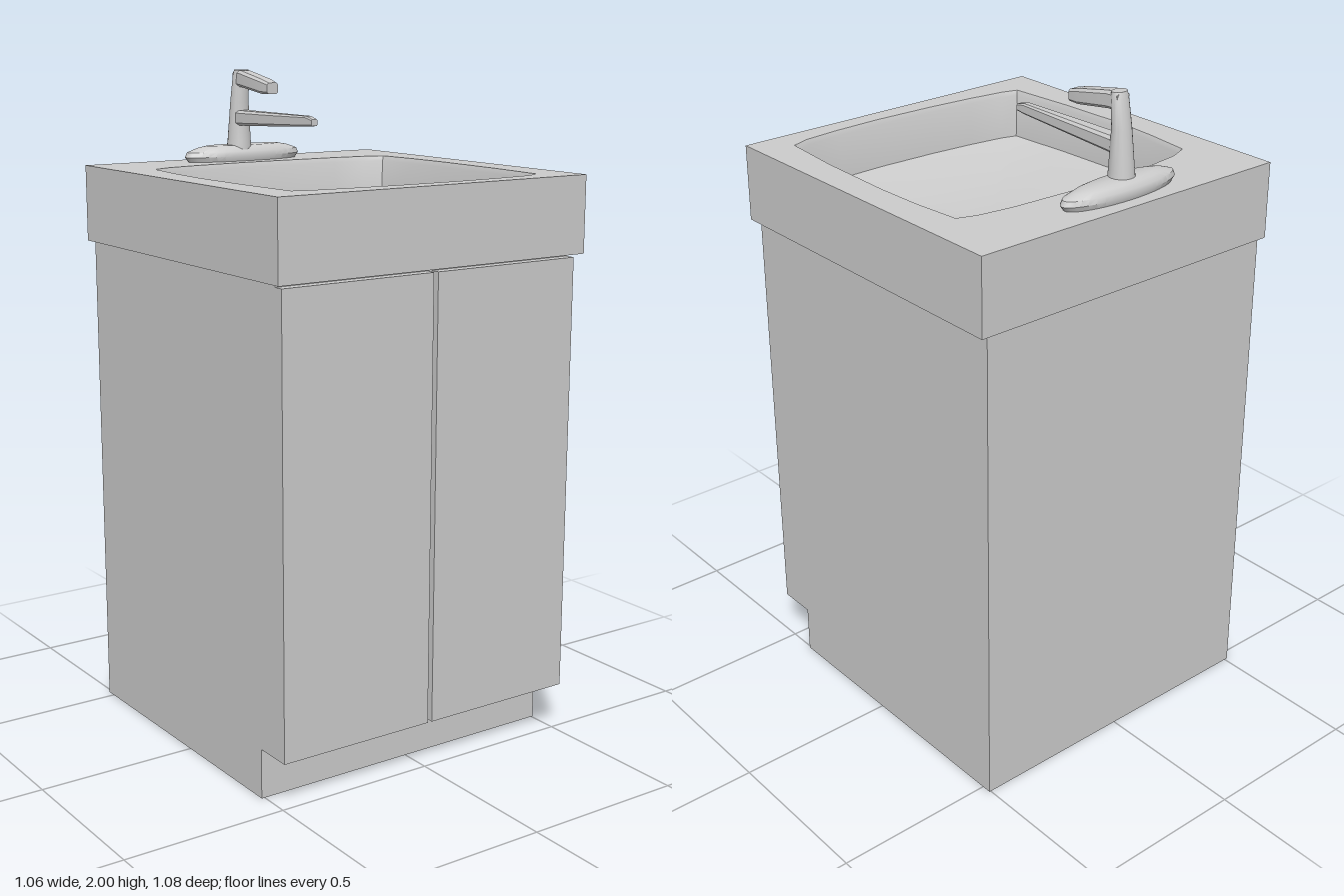
import * as THREE from 'three';
import { toCreasedNormals } from 'three/addons/utils/BufferGeometryUtils.js';

const material = new THREE.MeshStandardMaterial({ color: 0xcccccc });

// Skin a stack of rings with equal point counts; optionally close either end.
function loft(rings, capStart, capEnd) {
  const n = rings[0].length;
  const points = rings.flat();
  const index = [];
  for (let r = 0; r < rings.length - 1; r++) {
    for (let j = 0; j < n; j++) {
      const a = r * n + j, b = r * n + (j + 1) % n;
      index.push(a, b, b + n, a, b + n, a + n);
    }
  }
  const cap = (r, flip) => {
    const centre = new THREE.Vector3();
    rings[r].forEach((p) => centre.addScaledVector(p, 1 / n));
    const c = points.push(centre) - 1;
    for (let j = 0; j < n; j++) {
      const a = r * n + j, b = r * n + (j + 1) % n;
      index.push(...(flip ? [b, a, c] : [a, b, c]));
    }
  };
  if (capStart) cap(0, true);
  if (capEnd) cap(rings.length - 1, false);
  const geometry = new THREE.BufferGeometry().setFromPoints(points);
  geometry.setIndex(index);
  return toCreasedNormals(geometry, 0.6);
}

// Horizontal ellipse, counterclockwise from above.
function ellipse(x, y, z, rx, rz, n = 32) {
  return Array.from({ length: n }, (_, i) => {
    const t = (i / n) * Math.PI * 2;
    return new THREE.Vector3(x + rx * Math.cos(t), y, z - rz * Math.sin(t));
  });
}

// Upright chamfered rectangle facing +z.
function section(x, z, halfWidth, bottom, top) {
  const c = Math.min(halfWidth, (top - bottom) / 2) * 0.35;
  const w = halfWidth;
  return [
    [w, bottom + c], [w, top - c], [w - c, top], [c - w, top],
    [-w, top - c], [-w, bottom + c], [c - w, bottom], [w - c, bottom],
  ].map(([dx, y]) => new THREE.Vector3(x + dx, y, z));
}

export function createModel() {
  const group = new THREE.Group();
  const add = (name, geometry) => {
    const mesh = new THREE.Mesh(geometry, material);
    mesh.name = name;
    group.add(mesh);
    return mesh;
  };
  const box = (name, x0, x1, y0, y1, z0, z1) =>
    add(name, new THREE.BoxGeometry(x1 - x0, y1 - y0, z1 - z0))
      .position.set((x0 + x1) / 2, (y0 + y1) / 2, (z0 + z1) / 2);

  // Cabinet body with a recessed toe kick
  box('cabinetBody', -0.51, 0.505, 0.15, 1.49, -0.53, 0.495);
  box('toeKick', -0.51, 0.505, 0, 0.15, -0.53, 0.405);

  // Pair of doors with a narrow gap
  box('rightDoor', -0.51, -0.01, 0.15, 1.48, 0.495, 0.525);
  box('leftDoor', 0.005, 0.505, 0.15, 1.48, 0.495, 0.525);

  // Bowed basin outline (x, z), counterclockwise from above
  const outline = [
    [-0.42, -0.30], [-0.36, -0.325], [-0.25, -0.34], [-0.1, -0.348], [0, -0.348],
    [0.25, -0.335], [0.36, -0.32], [0.42, -0.30],
    [0.435, -0.15], [0.44, 0], [0.435, 0.25], [0.42, 0.45],
    [0.365, 0.47], [0.25, 0.48], [0.1, 0.484], [-0.1, 0.477], [-0.25, 0.465],
    [-0.37, 0.45], [-0.42, 0.435],
    [-0.437, 0.22], [-0.445, 0], [-0.437, -0.15],
  ].reverse();

  // Countertop slab with the basin opening
  const slab = new THREE.Shape([
    [-0.53, -0.54], [0.53, -0.54], [0.53, 0.54], [-0.53, 0.54],
  ].map(([x, y]) => new THREE.Vector2(x, y)));
  slab.holes.push(new THREE.Path(outline.map(([x, z]) => new THREE.Vector2(x, -z))));
  const slabGeometry = new THREE.ExtrudeGeometry(slab, { depth: 0.23, bevelEnabled: false });
  slabGeometry.rotateX(-Math.PI / 2).translate(0, 1.49, 0);
  add('countertop', slabGeometry);

  // Basin: steep walls, then a shallow floor falling to the middle
  const basinRing = (scale, y) => outline.map(([x, z]) =>
    new THREE.Vector3(x * scale, y, 0.06 + (z - 0.06) * scale));
  add('basinWall', loft([
    basinRing(1, 1.72), basinRing(0.985, 1.705), basinRing(0.96, 1.575),
  ]));
  add('basinFloor', loft([
    basinRing(0.96, 1.575), basinRing(0.57, 1.525), basinRing(0.06, 1.505),
  ], false, true));

  // Faucet: oval base plate
  const bx = -0.025, bz = -0.447;
  add('faucetBase', loft([
    ellipse(bx, 1.72, bz, 0.195, 0.052, 40),
    ellipse(bx, 1.735, bz, 0.207, 0.057, 40),
    ellipse(bx, 1.75, bz, 0.2, 0.053, 40),
    ellipse(bx, 1.762, bz, 0.165, 0.043, 40),
    ellipse(bx, 1.768, bz, 0.13, 0.034, 40),
  ], true, true));

  // Tapered column
  add('faucetColumn', loft([
    ellipse(-0.043, 1.74, -0.438, 0.041, 0.041, 20),
    ellipse(-0.043, 1.785, -0.437, 0.036, 0.037, 20),
    ellipse(-0.043, 1.9, -0.433, 0.03, 0.026, 20),
    ellipse(-0.043, 1.985, -0.422, 0.027, 0.021, 20),
    ellipse(-0.043, 2, -0.42, 0.024, 0.018, 20),
  ], true, true));

  // Long spout reaching over the basin
  add('spout', loft([
    section(-0.043, -0.43, 0.026, 1.828, 1.876),
    section(-0.041, -0.24, 0.02, 1.836, 1.876),
    section(-0.038, -0.05, 0.013, 1.845, 1.876),
    section(-0.038, -0.02, 0.011, 1.848, 1.868),
  ], true, true));

  // Lever handle on top
  add('lever', loft([
    section(-0.043, -0.435, 0.022, 1.95, 1.998),
    section(-0.043, -0.395, 0.024, 1.948, 1.998),
    section(-0.041, -0.28, 0.024, 1.932, 1.976),
    section(-0.04, -0.245, 0.02, 1.932, 1.966),
  ], true, true));

  return group;
}
